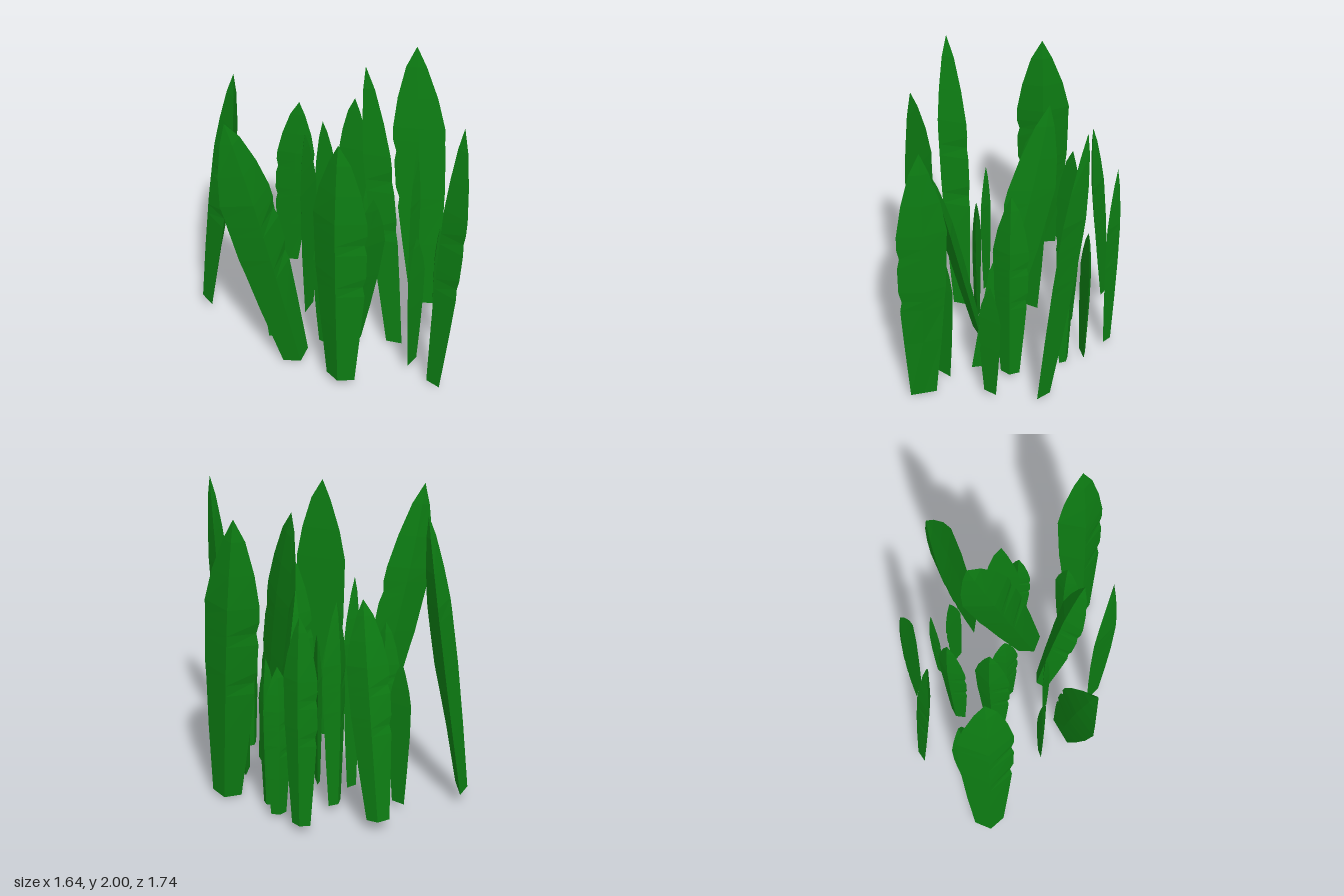
import * as THREE from 'three';

// Blade outline: height fraction, left edge, right edge, ridge (fractions of half width / thickness).
// Dips in the edges are small nicks.
const ROWS = [
  [0, 0.55, 0.55, 0.6],
  [0.25, 0.78, 0.78, 0.85],
  [0.4, 0.88, 0.9, 0.95],
  [0.44, 0.91, 0.83, 0.98],
  [0.48, 0.95, 0.95, 1],
  [0.58, 0.97, 0.97, 1],
  [0.62, 0.98, 0.88, 1],
  [0.66, 0.98, 0.98, 1],
  [0.71, 1, 0.97, 0.98],
  [0.82, 0.75, 0.76, 0.75],
  [0.93, 0.35, 0.42, 0.4],
  [1, 0, 0, 0],
];

// A ridged blade from base to tip; (wx, wz) is its full width vector on the ground plane,
// back is how far the rear bulges (0.3 is flat).
function bladeGeometry(base, tip, wx, wz, thick, back) {
  const axis = tip.clone().sub(base);
  const up = axis.clone().normalize();
  const side = new THREE.Vector3(wx, 0, wz);
  const width = side.length();
  side.addScaledVector(up, -side.dot(up)).normalize();
  const out = new THREE.Vector3().crossVectors(side, up);
  const depth = width * thick;

  const rings = ROWS.map(([t, l, r, k]) => {
    const c = base.clone().addScaledVector(axis, t);
    const at = (s, n) => c.clone().addScaledVector(side, s * width / 2).addScaledVector(out, n * depth);
    // the rear bulge grows from the flat base
    const rear = 0.3 + (back - 0.3) * Math.min(1, t * 2);
    return [at(-l, -0.3 * k), at(0, 0.7 * k), at(r, -0.3 * k), at(0, -rear * k)];
  });

  const pos = [];
  const tri = (...pts) => pts.forEach((p) => pos.push(p.x, p.y, p.z));
  for (let i = 0; i < rings.length - 1; i++) {
    const a = rings[i], b = rings[i + 1];
    const last = i === rings.length - 2;
    for (let j = 0; j < 4; j++) {
      const k = (j + 1) % 4;
      tri(a[j], a[k], b[k]);
      if (!last) tri(a[j], b[k], b[j]);
    }
  }
  tri(rings[0][0], rings[0][2], rings[0][1]);

  const g = new THREE.BufferGeometry();
  g.setAttribute('position', new THREE.Float32BufferAttribute(pos, 3));
  g.computeVertexNormals();
  return g;
}

// Leaning and tall blades: base, tip, width vector, thickness ratio, rear bulge
const TALL = [
  [[-0.715, 0.08, -0.68], [-0.49, 1.95, -0.53], [-0.13, 0.34], 0.3, 0.7],
  [[-0.02, 0.08, -0.83], [0.02, 1.53, -0.66], [-0.23, -0.13], 0.28, 0.45],
  [[-0.385, 0.025, 0.13], [-0.78, 1.98, 0.035], [0.35, 0], 0.4, 0.42],
  [[0.01, 0.06, 0.17], [0, 1.47, 0.48], [-0.25, 0], 0.28, 0.4],
  [[0.29, 0.025, 0.26], [0.285, 1.98, -0.2], [0, 0.35], 0.34, 0.42],
  [[0.69, 0.02, 0], [0.685, 2, -0.25], [-0.28, -0.23], 0.3, 0.35],
  [[0.35, 0.01, 0.725], [0.47, 2, 0.73], [-0.06, 0.31], 0.32, 0.6],
  [[-0.23, 0.06, 0.48], [-0.25, 1.95, 0.5], [0.24, 0.28], 0.24, 0.3],
];

// Short upright blades: x, z, base height, tip height, width vector
const SHORT = [
  [-0.275, -0.63, 0.05, 1.05, 0.08, 0.15],
  [0.105, -0.47, 0.05, 1.46, -0.2, 0.09],
  [-0.11, -0.285, 0.05, 1.53, -0.19, 0.15],
  [0.425, -0.625, 0.05, 1.47, -0.16, -0.16],
  [0.48, -0.405, 0.03, 1.07, -0.18, -0.03],
  [0.495, -0.255, 0.03, 1.07, -0.06, -0.15],
  [0.06, -0.085, 0.01, 1.1, -0.045, 0.18],
  [-0.44, -0.095, 0.05, 1.1, -0.15, -0.12],
  [-0.155, 0.105, 0.05, 1.05, 0.14, 0.1],
  [0.485, 0.15, 0.07, 1.53, 0.13, -0.19],
  [0.58, 0.335, 0.05, 0.95, -0.14, 0.09],
  [0.285, 0.54, 0.05, 1.12, -0.17, 0.09],
];

export function createModel() {
  const group = new THREE.Group();
  group.name = 'grassClump';
  const green = new THREE.MeshStandardMaterial({ color: 0x0d7d13, flatShading: true });

  const add = (name, geometry) => {
    const mesh = new THREE.Mesh(geometry, green);
    mesh.name = name;
    group.add(mesh);
  };

  TALL.forEach(([base, tip, w, thick, back], i) => add(`tallBlade${i + 1}`,
    bladeGeometry(new THREE.Vector3(...base), new THREE.Vector3(...tip), w[0], w[1], thick, back)));

  SHORT.forEach(([x, z, y0, y1, wx, wz], i) => add(`shortBlade${i + 1}`,
    bladeGeometry(new THREE.Vector3(x, y0, z), new THREE.Vector3(x, y1, z), wx, wz, 0.24, 0.3)));

  return group;
}
